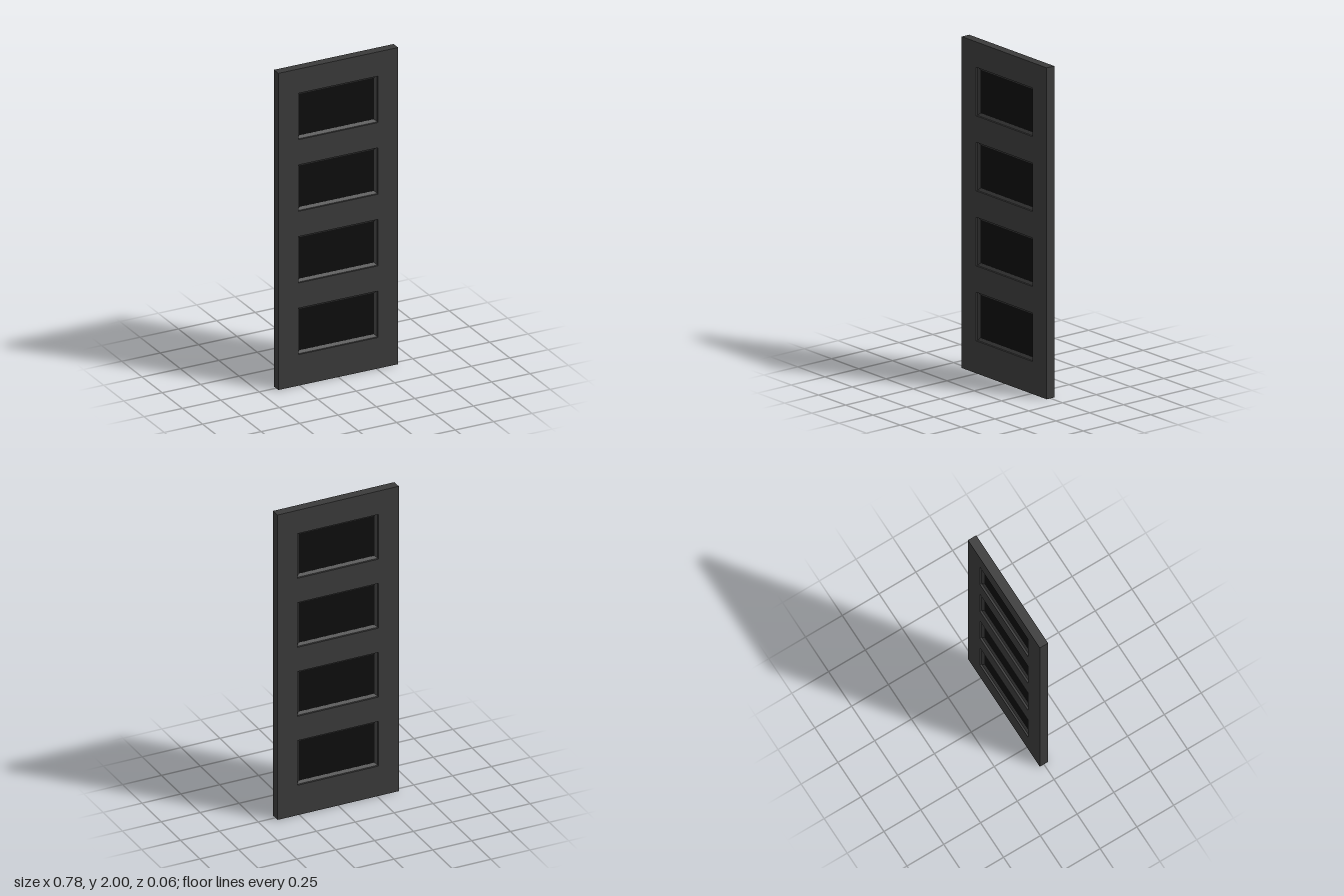
import * as THREE from 'three';

const H = 2, W = 0.78, D = 0.056;
const OPEN_W = 0.52, OPEN_H = 0.293, FIRST = 0.196, PITCH = 0.4525, COUNT = 4;
const BEAD = 0.016;

// Mitred rectangular ring: each profile step is [inset, z]
function rectRing(w, h, profile) {
  const pos = [];
  const corners = profile.map(([inset, z]) => {
    const x = w / 2 - inset, y = h / 2 - inset;
    return [[-x, -y, z], [x, -y, z], [x, y, z], [-x, y, z]];
  });
  for (let i = 0; i < profile.length - 1; i++) {
    for (let k = 0; k < 4; k++) {
      const n = (k + 1) % 4;
      const a = corners[i][k], b = corners[i][n], c = corners[i + 1][n], d = corners[i + 1][k];
      pos.push(...a, ...b, ...c, ...a, ...c, ...d);
    }
  }
  const geo = new THREE.BufferGeometry();
  geo.setAttribute('position', new THREE.Float32BufferAttribute(pos, 3));
  geo.computeVertexNormals();
  return geo;
}

export function createModel() {
  const door = new THREE.Group();
  door.name = 'door';
  const frameMat = new THREE.MeshStandardMaterial({ color: 0x3a3a3a });
  const glassMat = new THREE.MeshStandardMaterial({ color: 0x0d0d0d });

  const add = (name, geo, mat, x, y) => {
    const mesh = new THREE.Mesh(geo, mat);
    mesh.name = name;
    mesh.position.set(x, y, 0);
    door.add(mesh);
  };

  // Full-height stiles
  const stileW = (W - OPEN_W) / 2;
  for (const [name, s] of [['leftStile', 1], ['rightStile', -1]]) {
    add(name, new THREE.BoxGeometry(stileW, H, D), frameMat, s * (OPEN_W + stileW) / 2, H / 2);
  }

  // Rails fill the gaps below, between and above the openings
  for (let i = 0; i <= COUNT; i++) {
    const y0 = i === 0 ? 0 : FIRST + (i - 1) * PITCH + OPEN_H;
    const y1 = i === COUNT ? H : FIRST + i * PITCH;
    const name = i === 0 ? 'bottomRail' : i === COUNT ? 'topRail' : 'middleRail' + i;
    add(name, new THREE.BoxGeometry(OPEN_W, y1 - y0, D), frameMat, 0, (y0 + y1) / 2);
  }

  // Glazing: sloped beads on both faces around a thin dark pane
  const beadGeo = rectRing(OPEN_W, OPEN_H, [[0, 0.016], [BEAD, 0.006], [BEAD, -0.006], [0, -0.016]]);
  const paneGeo = new THREE.BoxGeometry(OPEN_W - 2 * BEAD, OPEN_H - 2 * BEAD, 0.011);
  for (let i = 0; i < COUNT; i++) {
    const y = FIRST + i * PITCH + OPEN_H / 2;
    add('glazingBead' + (i + 1), beadGeo, frameMat, 0, y);
    add('glassPane' + (i + 1), paneGeo, glassMat, 0, y);
  }
  return door;
}
